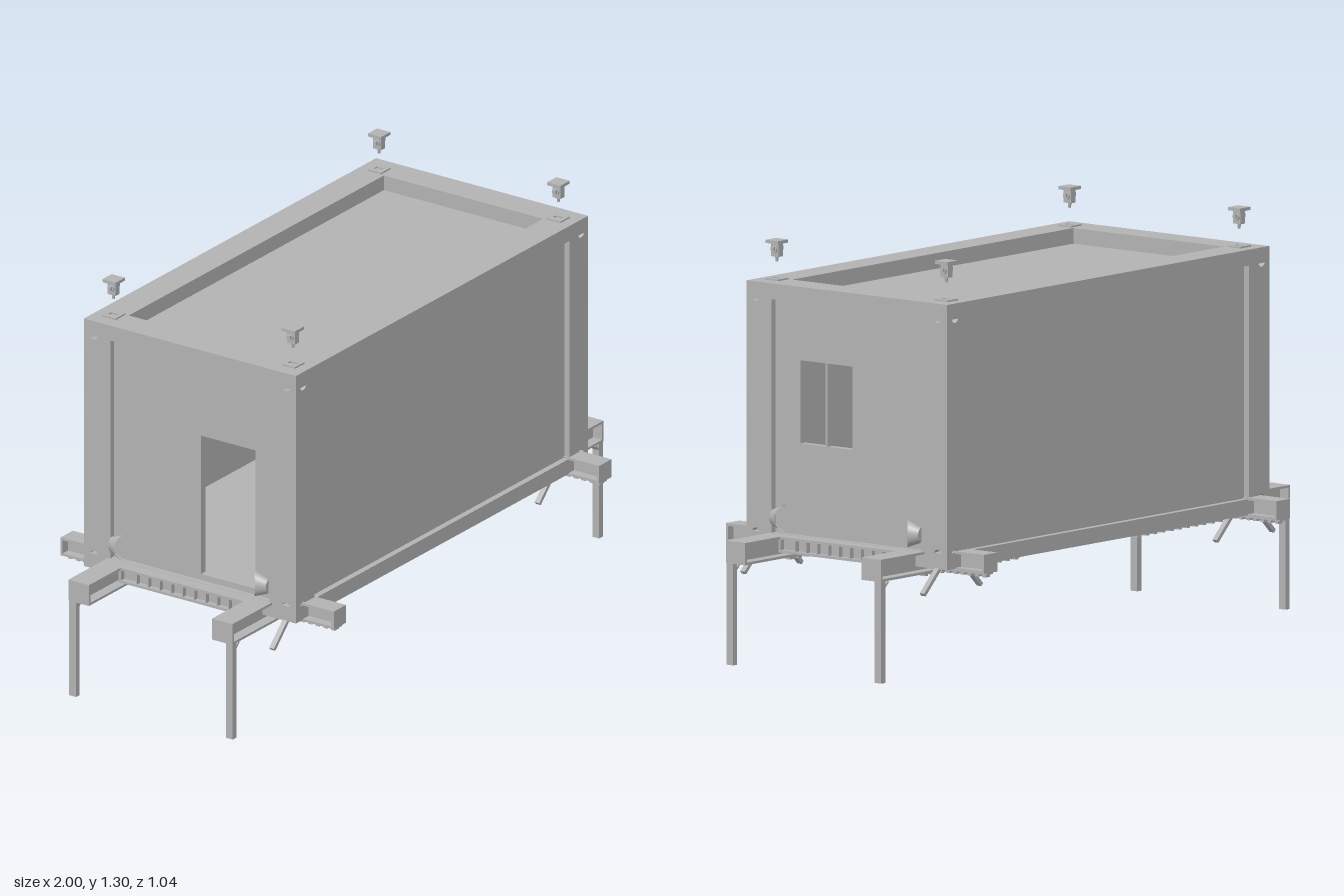
import * as THREE from 'three';

const steel = new THREE.MeshStandardMaterial({ color: 0xb2b2b2, side: THREE.DoubleSide });
steel.name = 'grey steel';

// Container extents
const HX = 0.787, HZ = 0.402, Y0 = 0.34, Y1 = 1.172, MID = (Y0 + Y1) / 2, H = Y1 - Y0;
const RIM = 0.1, EDGE = 0.05, SKIN = 0.02;

function add(parent, name, geometry, x = 0, y = 0, z = 0) {
  const mesh = new THREE.Mesh(geometry, steel);
  mesh.name = name;
  mesh.position.set(x, y, z);
  parent.add(mesh);
  return mesh;
}
const box = (parent, name, w, h, d, x, y, z) => add(parent, name, new THREE.BoxGeometry(w, h, d), x, y, z);

function rectPath(target, x0, y0, x1, y1) {
  target.moveTo(x0, y0);
  target.lineTo(x1, y0);
  target.lineTo(x1, y1);
  target.lineTo(x0, y1);
  target.closePath();
  return target;
}
// Rectangle with rectangular openings
function plate(x0, y0, x1, y1, openings) {
  const shape = rectPath(new THREE.Shape(), x0, y0, x1, y1);
  for (const o of openings) shape.holes.push(rectPath(new THREE.Path(), ...o));
  return shape;
}
const extrude = (shape, depth) =>
  new THREE.ExtrudeGeometry(shape, { depth, bevelEnabled: false, curveSegments: 10 });

// Upright frame with oval lifting holes in its corners, outer face at z = 0
function sideFrame(half) {
  const h = H / 2;
  const shape = plate(-half, -h, half, h, [[-half + RIM, -h + EDGE, half - RIM, h - EDGE]]);
  for (const sx of [-1, 1]) for (const sy of [-1, 1]) {
    const hole = new THREE.Path();
    hole.absellipse(sx * (half - 0.038), sy * (h - 0.036), 0.019, 0.025, 0, Math.PI * 2);
    shape.holes.push(hole);
  }
  return extrude(shape, SKIN).translate(0, 0, -SKIN);
}

// I-section beam along x, closed by end plates
function beam(parent, name, length, width, height) {
  const group = new THREE.Group();
  group.name = name;
  const t = 0.008;
  for (const s of [-1, 1]) {
    box(group, 'flange', length, t, width, 0, s * (height - t) / 2, 0);
    box(group, 'endPlate', t, height, width, s * (length - t) / 2, 0, 0);
  }
  box(group, 'web', length, height, t, 0, 0, 0);
  for (let i = -4; i <= 4; i++) box(group, 'stiffener', t / 2, height - t, width * 0.9, i * length / 11, 0, 0);
  parent.add(group);
  return group;
}

// Bar between two points
function bar(parent, name, a, b, w, h) {
  const p = new THREE.Vector3(...a), q = new THREE.Vector3(...b);
  const mesh = box(parent, name, w, h, p.distanceTo(q), 0, 0, 0);
  mesh.position.copy(p).add(q).multiplyScalar(0.5);
  mesh.lookAt(q);
  return mesh;
}

function buildContainer() {
  const g = new THREE.Group();
  g.name = 'container';
  for (const s of [-1, 1]) {
    const turn = s > 0 ? 0 : Math.PI;
    add(g, 'longSideFrame', sideFrame(HX), 0, MID, s * HZ).rotation.y = turn;
    add(g, 'endFrame', sideFrame(HZ), s * HX, MID, 0).rotation.y = s * Math.PI / 2;
    box(g, 'longWall', 2 * (HX - SKIN), H - 0.06, 0.02, 0, MID, s * (HZ - SKIN - 0.01));
    for (const t of [-1, 1])
      box(g, 'cornerPost', RIM - SKIN, H - 0.01, RIM - SKIN, s * (HX - 0.06), MID, t * (HZ - 0.06));
  }
  // Top and bottom rings around the sunken roof and floor
  const ring = plate(-HX, -HZ, HX, HZ, [[-HX + RIM, -HZ + RIM, HX - RIM, HZ - RIM]]);
  for (const [name, y] of [['roofFrame', Y1], ['floorFrame', Y0 + EDGE]])
    add(g, name, extrude(ring, EDGE - 0.001), 0, y, 0).rotation.x = Math.PI / 2;
  const inX = 2 * (HX - SKIN), inZ = 2 * (HZ - SKIN);
  box(g, 'roof', inX, 0.02, inZ, 0, Y1 - EDGE - 0.01, 0);
  box(g, 'floor', inX, 0.02, inZ, 0, Y0 + EDGE + 0.01, 0);

  // End walls: shape x runs along -z for the window wall, +z for the door wall
  const w = HZ - SKIN, lo = Y0 + 0.03, hi = Y1 - 0.03;
  const windowWall = plate(-w, lo, w, hi, [[-0.203, 0.677, -0.102, 0.938], [-0.094, 0.677, 0.007, 0.938]]);
  add(g, 'windowWall', extrude(windowWall, 0.025), HX - SKIN - 0.025, 0, 0).rotation.y = Math.PI / 2;
  const doorWall = plate(-w, lo, w, hi, [[0.028, 0.41, 0.235, 0.875]]);
  add(g, 'doorWall', extrude(doorWall, 0.025), -HX + SKIN + 0.025, 0, 0).rotation.y = -Math.PI / 2;
  return g;
}

function buildTwistLock() {
  const g = new THREE.Group();
  g.name = 'twistLock';
  box(g, 'lockCap', 0.05, 0.01, 0.05, 0, 1.292, 0);
  box(g, 'lockBody', 0.022, 0.042, 0.03, 0, 1.266, 0);
  box(g, 'lockHandle', 0.05, 0.012, 0.012, 0, 1.27, 0);
  add(g, 'lockCollar', new THREE.CylinderGeometry(0.011, 0.011, 0.034, 16).rotateZ(Math.PI / 2), 0, 1.267, 0);
  add(g, 'lockPin', new THREE.CylinderGeometry(0.007, 0.004, 0.022, 12), 0, 1.24, 0);
  return g;
}

// Half-cone guide, open toward the middle of the end wall
function buildGuide() {
  const geo = new THREE.CylinderGeometry(0.023, 0.043, 0.055, 20, 1, true, 0, Math.PI);
  geo.rotateX(Math.PI / 2).scale(0.68, 1, 1);
  const p = geo.attributes.position;
  for (let i = 0; i < p.count; i++) if (p.getZ(i) < 0) p.setZ(i, p.getZ(i) + 0.8 * p.getX(i));
  geo.computeVertexNormals();
  const g = new THREE.Group();
  g.name = 'cornerGuide';
  add(g, 'guideShell', geo, HX, 0.44, 0.271);
  const cap = new THREE.CircleGeometry(0.023, 16, -Math.PI / 2, Math.PI).scale(0.68, 1, 1);
  add(g, 'guideCap', cap, HX, 0.44, 0.2985);
  return g;
}

function buildCorner() {
  const g = new THREE.Group();
  g.name = 'corner';
  box(g, 'leg', 0.02, 0.32, 0.026, 0.987, 0.16, 0.297);
  bar(g, 'legGusset', [0.983, 0.295, 0.297], [0.96, 0.316, 0.297], 0.024, 0.006);
  // Splayed stays under the frame
  bar(g, 'outerStay', [0.775, 0.345, 0.36], [0.855, 0.267, 0.36], 0.018, 0.012);
  bar(g, 'innerStay', [0.655, 0.345, 0.36], [0.575, 0.267, 0.36], 0.018, 0.012);
  // Toothed rails below the beams
  box(g, 'longRail', 0.48, 0.008, 0.03, 0.52, 0.315, 0.27);
  box(g, 'crossRail', 0.03, 0.006, 0.345, 0.715, 0.332, 0.342);
  for (let i = 0; i < 12; i++) {
    box(g, 'railTooth', 0.016, 0.008, 0.022, 0.3 + i * 0.04, 0.309, 0.27);
    box(g, 'railTooth', 0.022, 0.01, 0.014, 0.715, 0.325, 0.18 + i * 0.029);
  }
  // Lock socket set on the roof frame
  const socket = plate(-0.026, -0.026, 0.026, 0.026, [[-0.008, -0.014, 0.008, 0.014]]);
  add(g, 'lockSocket', extrude(socket, 0.005), 0.715, Y1 + 0.005, 0.34).rotation.x = Math.PI / 2;
  const lock = buildTwistLock();
  lock.position.set(0.715, 0, 0.34);
  g.add(lock, buildGuide());
  return g;
}

function buildChassis() {
  const g = new THREE.Group();
  g.name = 'chassis';
  for (const s of [-1, 1]) {
    beam(g, 'longBeam', 2, 0.078, 0.07).position.set(0, 0.354, s * 0.272);
    const cross = beam(g, 'crossBeam', 1.036, 0.066, 0.06);
    cross.rotation.y = Math.PI / 2;
    cross.position.set(s * 0.715, 0.365, 0);
    const end = beam(g, 'endBeam', 0.48, 0.045, 0.05);
    end.rotation.y = Math.PI / 2;
    end.position.set(s * 0.807, 0.364, 0);
    bar(g, 'diagonalBrace', [s * 0.7, 0.34, -0.255], [0, 0.34, 0.245], 0.028, 0.02);
  }
  // Central coupling with hanging rings
  const profile = [[0.03, 0.39], [0.03, 0.34], [0.064, 0.335], [0.064, 0.32], [0.054, 0.312], [0.054, 0.3], [0.03, 0.295], [0.03, 0.34]];
  add(g, 'couplingHub', new THREE.LatheGeometry(profile.map(p => new THREE.Vector2(...p)), 28));
  for (const sx of [-1, 1]) for (const sz of [-1, 1]) {
    add(g, 'couplingRing', new THREE.TorusGeometry(0.015, 0.005, 8, 20).rotateY(Math.PI / 2), sx * 0.022, 0.277, sz * 0.03);
    box(g, 'ringLug', 0.014, 0.02, 0.016, sx * 0.022, 0.3, sz * 0.03);
  }
  return g;
}

export function createModel() {
  const model = new THREE.Group();
  model.name = 'containerOnLegs';
  model.add(buildContainer(), buildChassis());
  for (const sx of [-1, 1]) for (const sz of [-1, 1]) {
    const corner = buildCorner();
    corner.scale.set(sx, 1, sz);
    model.add(corner);
  }
  return model;
}
